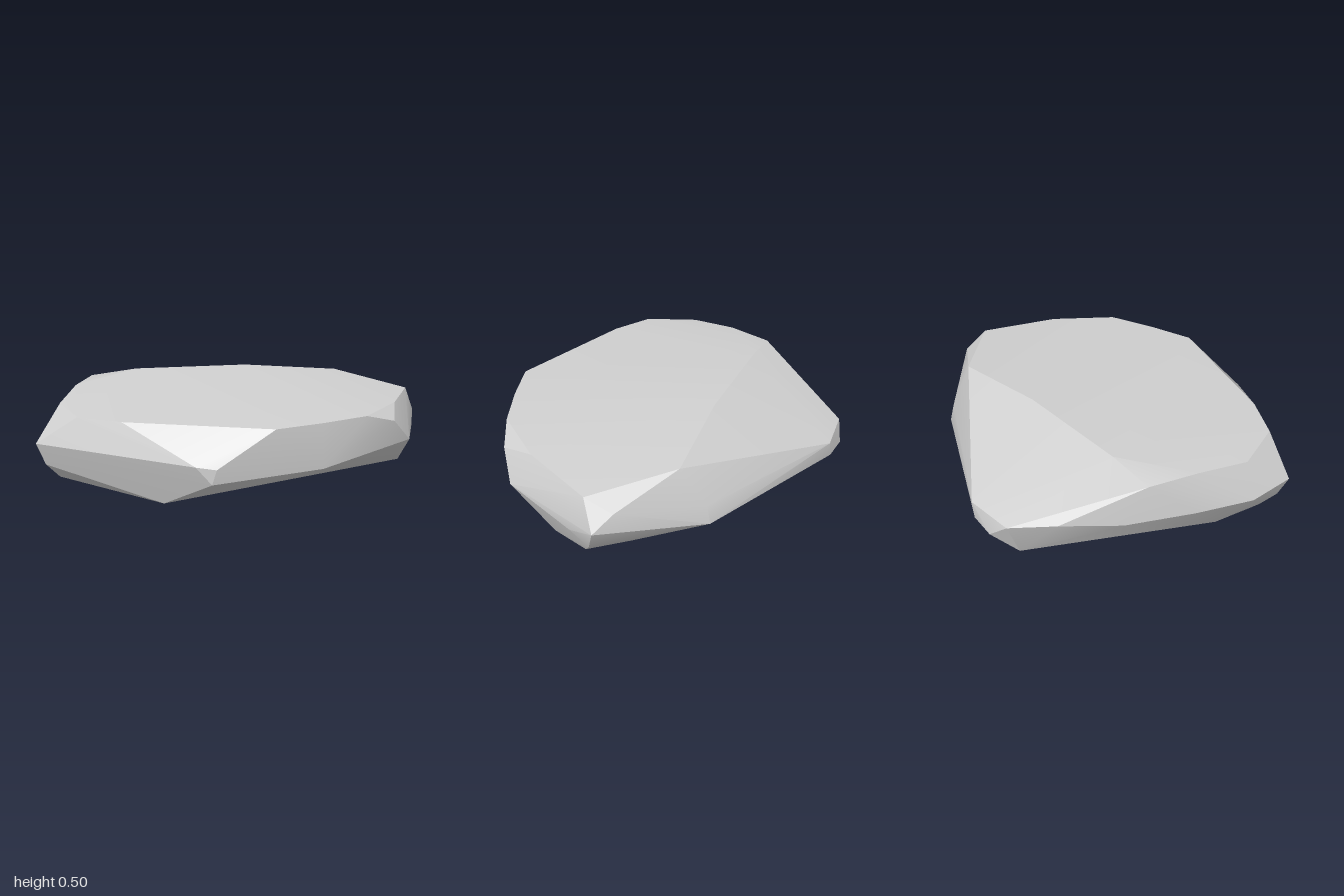
import * as THREE from 'three';
import { ConvexGeometry } from 'three/addons/geometries/ConvexGeometry.js';
import { toCreasedNormals } from 'three/addons/utils/BufferGeometryUtils.js';

// Corners of the stone as [x, y, z], grouped by height band.
const topRim = [
  [0.07, 0.43, 0.81], [0.3, 0.43, 0.735], [0.53, 0.43, 0.64], [0.75, 0.425, 0.37],
  [0.93, 0.41, 0], [0.62, 0.455, -0.33], [0.1, 0.5, -0.3], [-0.5, 0.495, -0.3],
  [-0.74, 0.465, -0.3], [-0.82, 0.465, -0.06], [-0.89, 0.435, 0.2],
  [-0.8, 0.43, 0.47], [-0.6, 0.43, 0.59],
];
const girdle = [
  [-1, 0.29, 0.4], [-0.96, 0.18, 0.38], [-0.29, 0.28, 0.84], [-0.2, 0.27, 0.86],
  [-0.22, 0.2, 0.855], [0.3, 0.22, 0.755], [0.69, 0.38, 0.56], [0.8, 0.26, 0.47],
  [0.95, 0.22, 0.07], [1, 0.27, -0.07], [0.96, 0.16, -0.03], [0.92, 0.35, -0.14],
  [0.61, 0.18, -0.48], [0.6, 0.27, -0.46],
  [-0.12, 0.28, -0.845], [-0.14, 0.2, -0.85], [-0.28, 0.2, -0.865],
  [-0.37, 0.28, -0.83], [-0.53, 0.3, -0.66], [-0.7, 0.27, -0.41],
  [-0.86, 0.27, -0.1], [-0.97, 0.26, 0.18],
];
const underside = [
  [-0.42, 0.06, 0.67], [0.83, 0.08, 0.22], [0.9, 0.085, 0.02], [0.75, 0.075, -0.14],
  [-0.35, 0.07, -0.75], [-0.82, 0.065, 0.1], [-0.9, 0.1, 0.33], [0, 0, 0.02],
];

export function createModel() {
  const model = new THREE.Group();
  model.name = 'rock';

  const stone = new THREE.MeshStandardMaterial({ color: 0xd0d0d0 });
  stone.name = 'grey stone';

  // Chiselled slab: faceted hull, softened where neighbouring faces are nearly level
  const points = [...topRim, ...girdle, ...underside].map((p) => new THREE.Vector3(...p));
  const slab = new THREE.Mesh(toCreasedNormals(new ConvexGeometry(points), 0.38), stone);
  slab.name = 'stoneSlab';
  model.add(slab);

  return model;
}
